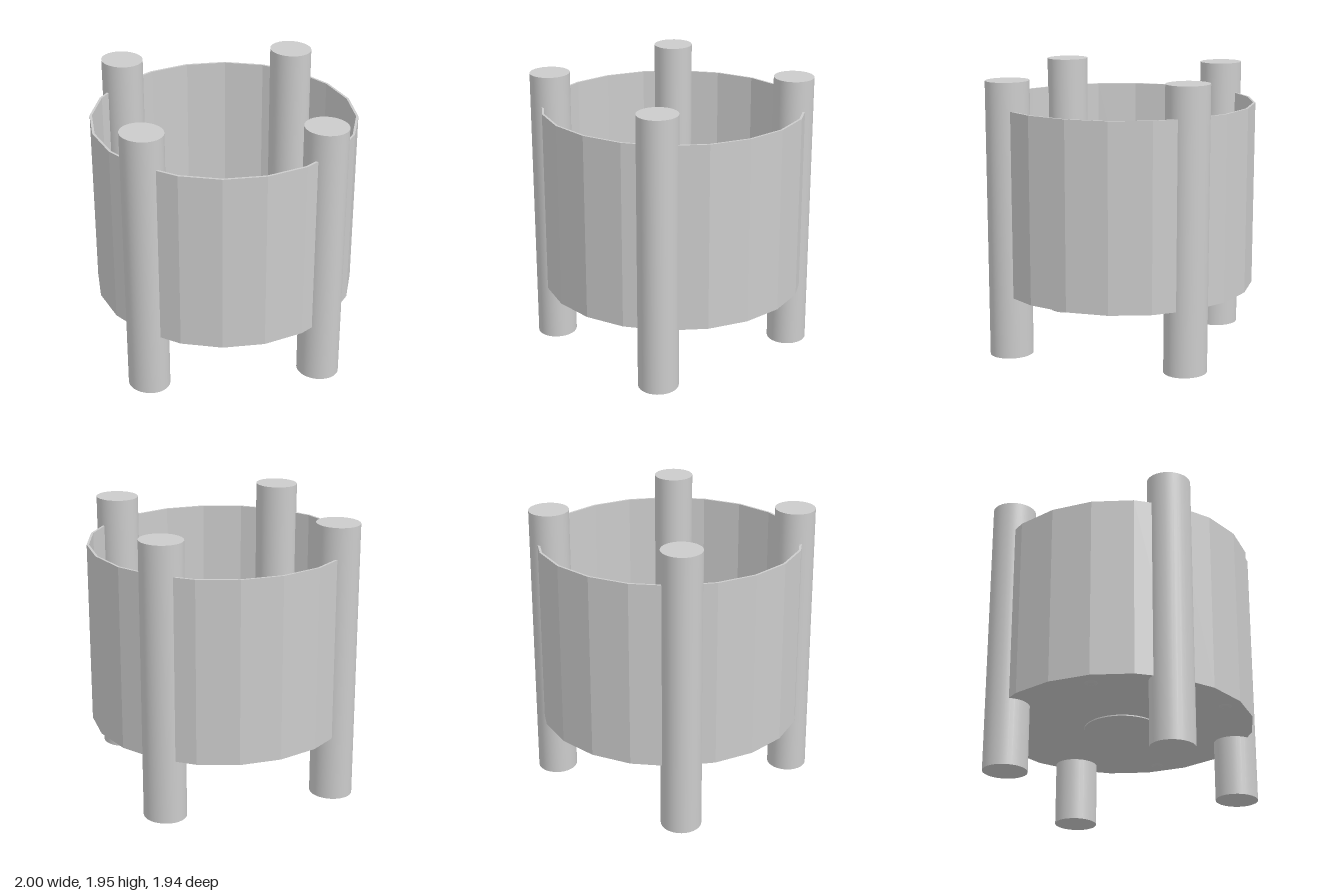
import * as THREE from 'three';

export function createModel() {
  const group = new THREE.Group();
  const smooth = new THREE.MeshStandardMaterial({ color: 0xcccccc });
  const faceted = new THREE.MeshStandardMaterial({ color: 0xcccccc, flatShading: true });

  function add(name, geometry, material, x, y, z) {
    const mesh = new THREE.Mesh(geometry, material);
    mesh.name = name;
    mesh.position.set(x, y, z);
    group.add(mesh);
    return mesh;
  }

  // Open vessel: twenty-sided thin wall with a closed floor
  const R = 0.91, wall = 0.016, bottom = 0.46, top = 1.73, floor = 0.475;
  const profile = [
    [0, bottom], [R, bottom], [R, top], [R - wall, top], [R - wall, floor], [0, floor],
  ].map(([r, y]) => new THREE.Vector2(r, y));
  add('vessel', new THREE.LatheGeometry(profile, 20), faceted, -0.005, 0, -0.02);

  // Four upright posts with slightly oval section, overlapping the wall
  const posts = [
    ['leftPost', 0.848, 0.03, 0.035, 1.92],
    ['rightPost', -0.85, 0.035, 0, 1.945],
    ['frontPost', -0.02, 0.83, 0.01, 1.94],
    ['backPost', -0.015, -0.835, 0.01, 1.94],
  ];
  for (const [name, x, z, y0, y1] of posts) {
    const post = add(name, new THREE.CylinderGeometry(0.15, 0.15, y1 - y0, 32), smooth, x, (y0 + y1) / 2, z);
    post.scale.z = 0.915;
  }

  // Balls resting in the floor, just showing underneath
  for (const [x, z] of [[-0.555, -0.575], [0.53, -0.595], [-0.48, 0.6], [0.48, 0.6]]) {
    add('ball', new THREE.SphereGeometry(0.105, 32, 20), smooth, x, 0.555, z);
  }

  // Central hub: round disc with a nine-sided boss
  add('hubDisc', new THREE.CylinderGeometry(0.262, 0.262, 0.11, 48), smooth, 0.01, 0.507, -0.04);
  const boss = add('hubBoss', new THREE.CylinderGeometry(0.198, 0.198, 0.12, 9), faceted, 0.01, 0.615, -0.035);
  boss.rotation.y = 0;

  return group;
}
